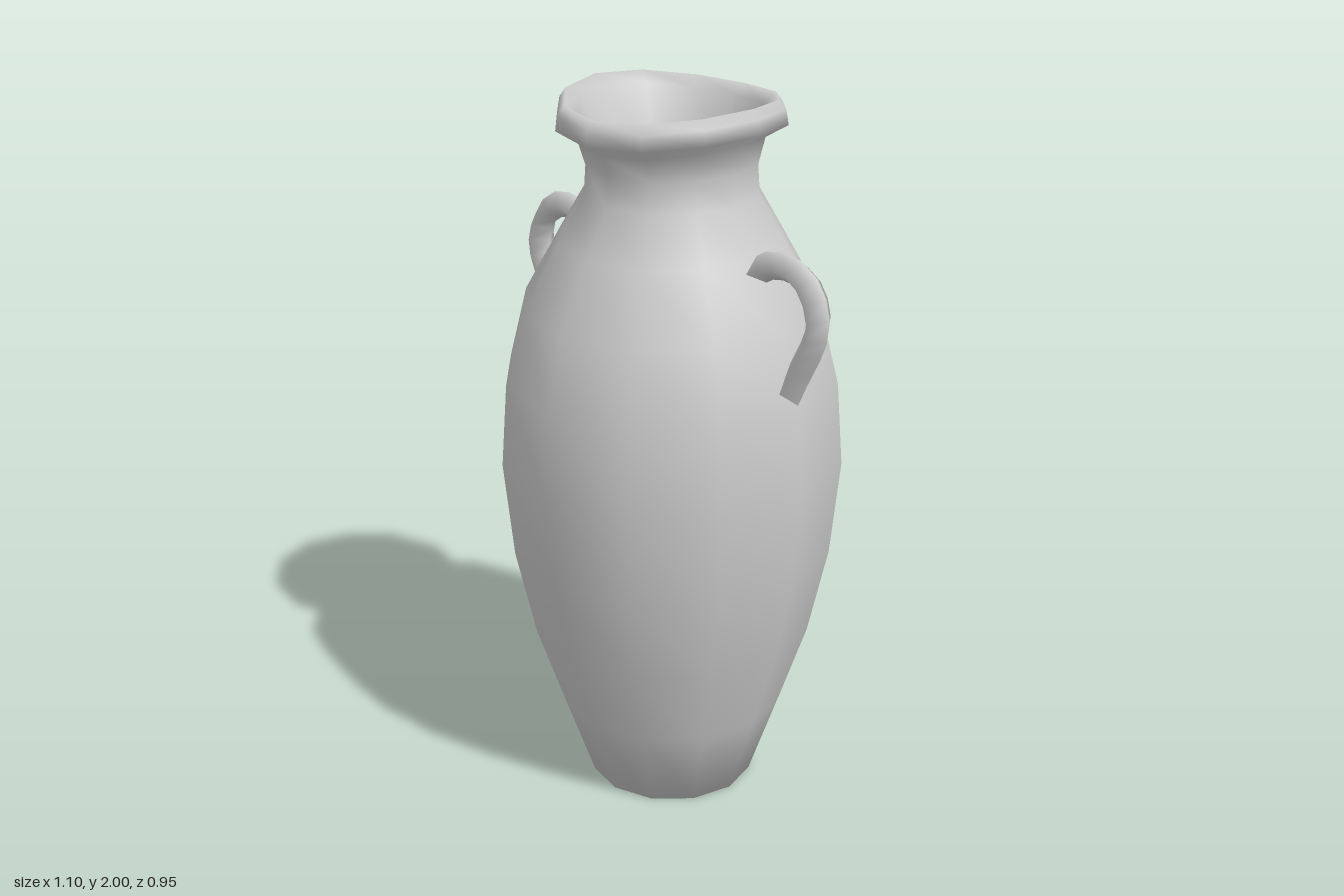
import * as THREE from 'three';

const clay = new THREE.MeshStandardMaterial({ color: 0xcccccc });
clay.name = 'clay';

const SIDES = 12;

// Profile as [radius, height]: foot, belly, shoulder, neck, flared lip, then down inside the mouth
const profile = [
  [0, 0], [0.233, 0], [0.315, 0.24], [0.395, 0.48], [0.45, 0.73], [0.477, 1.0],
  [0.46, 1.23], [0.41, 1.43], [0.31, 1.61], [0.238, 1.735], [0.232, 1.82],
  [0.25, 1.9], [0.31, 1.935], [0.303, 1.975], [0.285, 2.0],
  [0.245, 1.975], [0.18, 1.82], [0.155, 1.7], [0.135, 1.55], [0, 1.54],
].map(([r, y]) => new THREE.Vector2(r, y));

function makeBody() {
  const geometry = new THREE.LatheGeometry(profile, SIDES);
  // The rim dips gently at the front and back
  const p = geometry.attributes.position;
  for (let i = 0; i < p.count; i++) {
    if (p.getY(i) < 1.88) continue;
    const r = Math.hypot(p.getX(i), p.getZ(i));
    p.setY(i, p.getY(i) - 0.028 * (p.getZ(i) / r) ** 2);
  }
  const body = new THREE.Mesh(geometry, clay);
  body.name = 'body';
  return body;
}

// Ear-shaped loop from the shoulder to the belly, with a diamond section
function makeHandle(name, turn) {
  const path = new THREE.CatmullRomCurve3([
    [0.27, 1.555], [0.355, 1.607], [0.435, 1.608], [0.49, 1.567],
    [0.515, 1.48], [0.445, 1.315], [0.39, 1.2],
  ].map(([x, y]) => new THREE.Vector3(x, y, 0)));
  const geometry = new THREE.TubeGeometry(path, 14, 0.037, 4, false);
  geometry.scale(1, 1, 1.3);
  const handle = new THREE.Mesh(geometry, clay);
  handle.name = name;
  handle.rotation.y = turn;
  return handle;
}

export function createModel() {
  const group = new THREE.Group();
  group.name = 'amphora';
  group.add(makeBody(), makeHandle('leftHandle', 0), makeHandle('rightHandle', Math.PI));
  return group;
}
